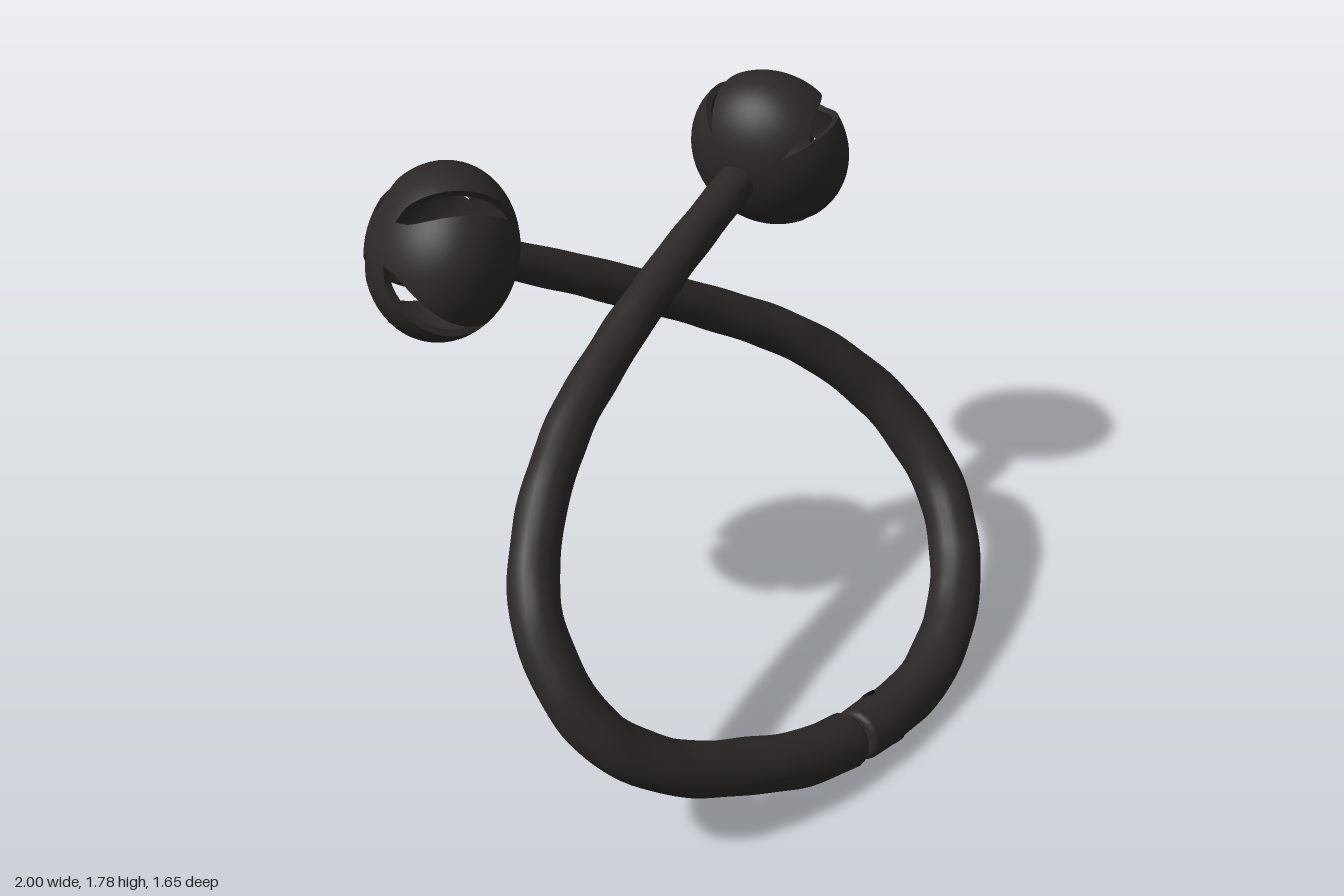
import * as THREE from 'three';
import { mergeVertices, toCreasedNormals } from 'three/addons/utils/BufferGeometryUtils.js';

const V = (x, y, z) => new THREE.Vector3(x, y, z);
const bronze = new THREE.MeshStandardMaterial({ color: 0x2a2725 });
const hollow = new THREE.MeshStandardMaterial({ color: 0x080808 });

function add(parent, name, geometry, material = bronze) {
  const mesh = new THREE.Mesh(geometry, material);
  mesh.name = name;
  parent.add(mesh);
  return mesh;
}

// Tapering, slightly uneven rod with a blunt rounded start
function rodGeometry(points, r0, rMid, r1) {
  const path = new THREE.CatmullRomCurve3(points.map((p) => V(...p)), false, 'centripetal');
  const rings = 110, sides = 20;
  const geo = new THREE.TubeGeometry(path, rings, 1, sides, false);
  const pos = geo.attributes.position, v = V(0, 0, 0);
  const startU = [0, 0, 0.002, 0.006], startR = [0, 0.8, 0.92, 0.99];
  for (let i = 0; i <= rings; i++) {
    const u = i < 4 ? startU[i] : i / rings;
    const from = path.getPointAt(i / rings), to = path.getPointAt(u);
    const base = u < 0.45
      ? THREE.MathUtils.lerp(r0, rMid, u / 0.45)
      : THREE.MathUtils.lerp(rMid, r1, (u - 0.45) / 0.55);
    for (let j = 0; j <= sides; j++) {
      const k = i * (sides + 1) + j, a = (j / sides) * Math.PI * 2;
      const lump = 1 + 0.015 * Math.sin(u * 90 + 2 * a) + 0.012 * Math.sin(u * 57 - 3 * a);
      const r = base * lump * (i < 4 ? startR[i] : 1);
      v.fromBufferAttribute(pos, k).sub(from).multiplyScalar(r).add(to);
      pos.setXYZ(k, v.x, v.y, v.z);
    }
  }
  geo.deleteAttribute('uv');
  geo.deleteAttribute('normal');
  const merged = mergeVertices(geo, 1e-4);
  merged.computeVertexNormals();
  return merged;
}

// Thick hollow shell of four petals, parted by slots that taper towards the rod
function bellGeometry(radius, halfLength, wall) {
  const rows = 36, cols = 14, ring = 2 * (cols + 1);
  const slotStart = 0.42, slotEnd = 2.4;
  const positions = [], index = [];
  for (let petal = 0; petal < 4; petal++) {
    const offset = positions.length / 3;
    for (let i = 0; i <= rows; i++) {
      const th = 0.001 + (i / rows) * (Math.PI - 0.002);
      const t = THREE.MathUtils.clamp((th - slotStart) / (slotEnd - slotStart), 0, 1);
      const slot = 0.096 * Math.pow(t, 0.4) * Math.pow(1 - t, 0.9);
      const span = Math.PI / 4 - slot / (radius * Math.sin(th));
      for (let j = 0; j < ring; j++) {
        const inner = j > cols;
        const f = inner ? 1 - (2 * (j - cols - 1)) / cols : -1 + (2 * j) / cols;
        const phi = petal * Math.PI / 2 + f * span;
        const r = radius - (inner ? wall : 0), h = halfLength - (inner ? wall : 0);
        positions.push(r * Math.sin(th) * Math.sin(phi), h * Math.cos(th), r * Math.sin(th) * Math.cos(phi));
      }
    }
    for (let i = 0; i < rows; i++) {
      for (let j = 0; j < ring; j++) {
        const a = offset + i * ring + j, d = offset + i * ring + ((j + 1) % ring);
        index.push(a, a + ring, d + ring, a, d + ring, d);
      }
    }
  }
  const geo = new THREE.BufferGeometry();
  geo.setAttribute('position', new THREE.Float32BufferAttribute(positions, 3));
  geo.setIndex(index);
  return toCreasedNormals(geo, 0.7);
}

// Turns a bell so that its pole follows the axis, then spins its petals about that axis
function placeBell(bell, centre, axis, spin) {
  const y = V(...axis).normalize();
  const z = V(0, 0, 1).addScaledVector(y, -y.z).normalize();
  bell.quaternion.setFromRotationMatrix(new THREE.Matrix4().makeBasis(V(0, 0, 0).crossVectors(y, z), y, z));
  bell.rotateY(spin);
  bell.position.set(...centre);
}

// Straight round bar between two points
function bar(parent, name, a, b, radius, material) {
  const p = V(...a), q = V(...b);
  const mesh = add(parent, name, new THREE.CylinderGeometry(radius, radius, p.distanceTo(q), 14), material);
  mesh.position.copy(p).add(q).multiplyScalar(0.5);
  mesh.quaternion.setFromUnitVectors(V(0, 1, 0), q.sub(p).normalize());
}

export function createModel() {
  const group = new THREE.Group();
  group.name = 'crossedBellRing';

  // Half that sweeps round the left side and crosses to the right bell
  add(group, 'leftRod', rodGeometry([
    [-0.10, 0.107, 0.732], [0.1, 0.088, 0.742], [0.3, 0.09, 0.73], [0.53, 0.15, 0.667],
    [0.715, 0.268, 0.555], [0.815, 0.41, 0.42], [0.83, 0.525, 0.315], [0.785, 0.70, 0.155],
    [0.625, 0.9, -0.02], [0.4, 1.06, -0.17], [0, 1.29, -0.36], [-0.27, 1.435, -0.48],
    [-0.33, 1.465, -0.505]], 0.086, 0.083, 0.059));

  // Half that sweeps round the right side and crosses to the left bell
  add(group, 'rightRod', rodGeometry([
    [-0.112, 0.103, 0.725], [-0.3, 0.145, 0.695], [-0.5, 0.215, 0.632], [-0.745, 0.33, 0.53],
    [-0.885, 0.465, 0.42], [-0.928, 0.615, 0.3], [-0.885, 0.80, 0.16], [-0.75, 0.95, 0.05],
    [-0.5, 1.11, -0.06], [-0.2, 1.22, -0.14], [0.1, 1.31, -0.2], [0.4, 1.385, -0.255],
    [0.59, 1.43, -0.285]], 0.089, 0.075, 0.063));

  // Narrow core bridging the joint
  bar(group, 'jointCore', [-0.15, 0.11, 0.72], [-0.07, 0.105, 0.733], 0.06, bronze);

  // Small dark holes along the rods
  bar(group, 'jointHole', [0.04, 0.033, 0.801], [0.04, 0.155, 0.679], 0.026, hollow);
  bar(group, 'rightJointHole', [-0.17, 0.12, 0.705], [-0.165, 0.174, 0.658], 0.02, hollow);
  bar(group, 'sideHole', [0.78, 0.5, 0.34], [0.914, 0.5, 0.34], 0.022, hollow);

  // Slotted bells on the two rod ends
  const bell = bellGeometry(0.268, 0.214, 0.022);
  placeBell(add(group, 'rightBell', bell), [-0.468, 1.518, -0.562], [-0.83, 0.43, -0.37], 0);
  placeBell(add(group, 'leftBell', bell), [0.775, 1.467, -0.305], [0.95, 0.25, -0.17], 0.16);
  return group;
}
